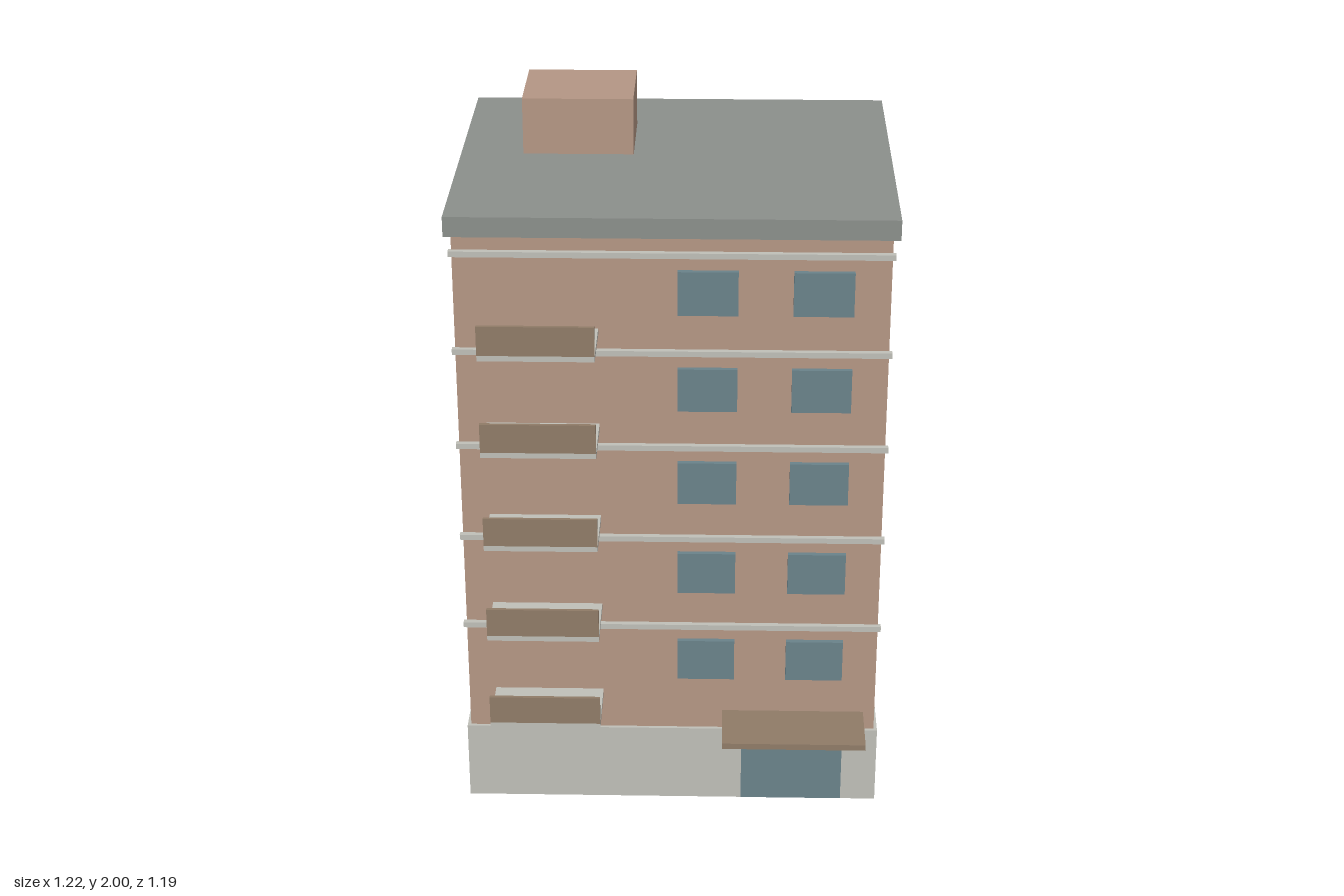
import * as THREE from 'three';

const mat = (name, color) => {
  const m = new THREE.MeshStandardMaterial({ color });
  m.name = name;
  return m;
};

export function createModel() {
  const wall = mat('wall clay', 0xb49684);
  const concrete = mat('pale concrete', 0xbfbfb8);
  const roofGrey = mat('roof grey', 0x8b8f8b);
  const glass = mat('window glass', 0x6a828a);
  const brown = mat('balcony brown', 0x8f7b67);

  const model = new THREE.Group();
  model.name = 'apartmentBlock';

  // Box given by its extents along each axis
  const box = (name, material, [x0, x1], [y0, y1], [z0, z1], parent = model) => {
    const mesh = new THREE.Mesh(new THREE.BoxGeometry(x1 - x0, y1 - y0, z1 - z0), material);
    mesh.position.set((x0 + x1) / 2, (y0 + y1) / 2, (z0 + z1) / 2);
    mesh.name = name;
    parent.add(mesh);
    return mesh;
  };

  const front = 0.407; // front wall plane
  const side = 0.592;  // side wall plane

  // Main masses
  box('base', concrete, [-0.602, 0.602], [0, 0.239], [-0.588, 0.417]);
  box('walls', wall, [-side, side], [0.2, 1.79], [-0.578, front]);
  box('roof', roofGrey, [-0.611, 0.611], [1.78, 1.837], [-0.597, 0.425]);
  box('roofHousing', wall, [-0.434, -0.12], [1.83, 2], [-0.36, -0.088]);

  // Entrance
  box('door', glass, [0.204, 0.5], [0.001, 0.239], [0.411, 0.419]);
  box('entranceCanopy', brown, [0.147, 0.559], [0.279, 0.297], [front, 0.586]);

  // Repeated storeys
  for (let i = 0; i < 5; i++) {
    const y = i * 0.2862;
    const storey = new THREE.Group();
    storey.name = `storey${i + 1}`;
    storey.position.y = y;
    model.add(storey);

    box('ledge', concrete, [-0.6, 0.6], [0.577, 0.593], [front - 0.002, 0.423], storey);

    for (const x of [0.016, 0.329])
      box('frontWindow', glass, [x, x + 0.164], [0.412, 0.539], [front - 0.002, 0.422], storey);

    for (const s of [-1, 1]) {
      const xs = [s * (side - 0.004), s * 0.602].sort((a, b) => a - b);
      box('sideWindow', glass, xs, [0.376, 0.492], [-0.032, 0.145], storey);
    }

    box('balconySlab', concrete, [-0.514, -0.2], [0.35, 0.366], [front - 0.002, 0.596], storey);
    box('balconyPanel', brown, [-0.514, -0.2], [0.366, 0.45], [0.587, 0.597], storey);
  }

  return model;
}
